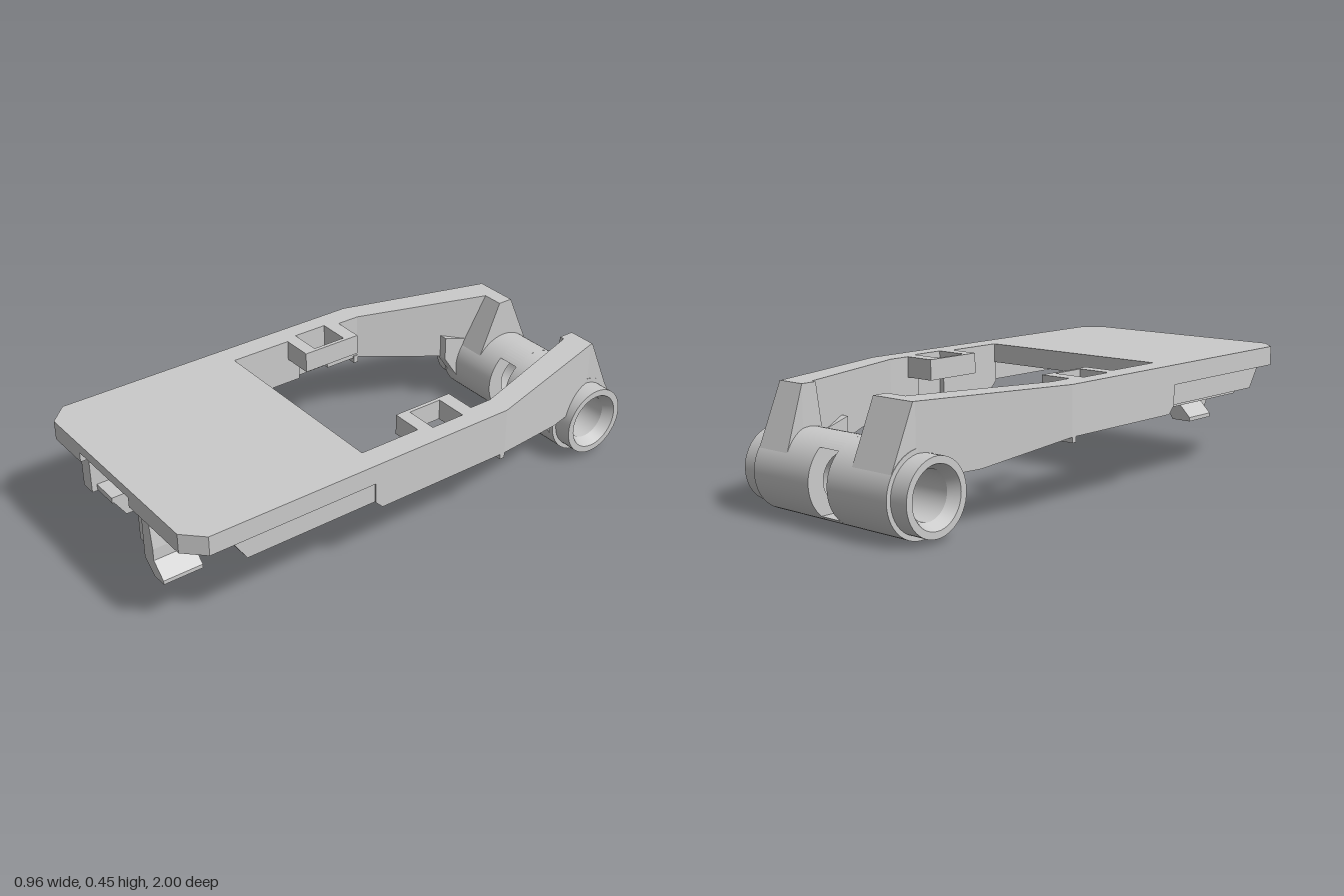
import * as THREE from 'three';
import { toCreasedNormals } from 'three/addons/utils/BufferGeometryUtils.js';

export function createModel() {
  const model = new THREE.Group();
  const grey = new THREE.MeshStandardMaterial({ color: 0xcacaca });
  grey.name = 'grey plastic';

  const add = (name, geometry) => {
    const mesh = new THREE.Mesh(geometry, grey);
    mesh.name = name;
    model.add(mesh);
  };
  const shapeOf = (pts) => new THREE.Shape(pts.map(([a, b]) => new THREE.Vector2(a, b)));
  const extrude = (pts, depth) =>
    new THREE.ExtrudeGeometry(shapeOf(pts), { depth, bevelEnabled: false });
  // Outline in (x, z), raised from y0 to y1
  const plan = (pts, y0, y1) => extrude(pts, y1 - y0).rotateX(Math.PI / 2).translate(0, y1, 0);
  // Outline in (z, y), spanning x0 to x1
  const side = (pts, x0, x1) => extrude(pts, x1 - x0).rotateY(-Math.PI / 2).translate(x1, 0, 0);
  // Outline in (x, y), spanning z0 to z1
  const front = (pts, z0, z1) => extrude(pts, z1 - z0).translate(0, 0, z0);
  const box = (x0, x1, y0, y1, z0, z1) =>
    new THREE.BoxGeometry(x1 - x0, y1 - y0, z1 - z0)
      .translate((x0 + x1) / 2, (y0 + y1) / 2, (z0 + z1) / 2);
  const span = (s, a, b) => (s > 0 ? [a, b] : [-b, -a]);

  // Barrel axis position
  const CZ = -0.85, CY = 0.15;
  const arc = (r, a0, a1, n) => Array.from({ length: n + 1 }, (_, i) => {
    const a = a0 + ((a1 - a0) * i) / n;
    return [CZ + r * Math.cos(a), CY + r * Math.sin(a)];
  });

  // Front plate with clipped corners; its lower layer is cut back between the bracket walls
  const rear = [[-0.48, 0.27], [0.48, 0.27], [0.48, 0.93], [0.41, 1]];
  const corner = [[-0.41, 1], [-0.48, 0.93]];
  add('plateTop', plan([...rear, ...corner], 0.412, 0.448));
  add('plateBase', plan([
    ...rear, [0.1, 1], [0.1, 0.46], [-0.23, 0.36], [-0.23, 1], ...corner,
  ], 0.375, 0.412));

  for (const s of [1, -1]) {
    const mx = (pts) => pts.map(([x, b]) => [s * x, b]);

    // Side rail, notched beside the clip socket
    add('sideRail', plan(mx([
      [0.48, -0.3], [0.48, 0.25], [0.39, 0.25], [0.39, -0.02], [0.41, -0.02],
      [0.41, -0.155], [0.39, -0.155], [0.39, -0.3],
    ]), 0.27, 0.448));
    add('railEnd', side([[0.25, 0.27], [0.28, 0.3], [0.28, 0.448], [0.25, 0.448]],
      ...span(s, 0.39, 0.48)));
    add('clipSocket', plan(mx([
      [0.395, -0.21], [0.27, -0.21], [0.27, 0.03], [0.395, 0.03],
      [0.395, -0.02], [0.285, -0.02], [0.285, -0.155], [0.395, -0.155],
    ]), 0.37, 0.448));
    add('railNub', box(...span(s, 0.385, 0.48), 0.25, 0.28, -0.3, -0.28));

    // Narrow runner beneath the plate edge, sloped at the front
    add('runner', side([[0.27, 0.3], [0.79, 0.3], [0.84, 0.376], [0.27, 0.376]],
      ...span(s, 0.415, 0.475)));

    // Arm leaning inward from the rail to the barrel
    const arm = side([
      [-0.3, 0.448], [-0.3, 0.27], [-0.64, 0.205], [-0.742, 0.2],
      ...arc(0.125, 0.5, 2.85, 18), [-0.985, 0.21], [-0.88, 0.448],
    ], ...span(s, 0.39, 0.48));
    const p = arm.attributes.position;
    for (let i = 0; i < p.count; i++) {
      const inner = Math.abs(p.getX(i)) < 0.43;
      const t = (-0.3 - p.getZ(i)) / 0.58;
      p.setX(i, p.getX(i) - s * t * (inner ? 0.185 : 0.165));
    }
    arm.computeVertexNormals();
    add('arm', arm);

    // Web tying the underside of the arm to the barrel
    add('armWeb', side([[-0.64, 0.3], [-0.64, 0.205], [-0.725, 0.08], ...arc(0.125, -0.3, 1.0, 10)],
      ...span(s, 0.25, 0.3)));

    // Half of the hinge barrel with stepped end and bore
    const half = new THREE.LatheGeometry([
      [0.085, 0.045], [0.15, 0.045], [0.15, 0.32], [0.133, 0.32], [0.133, 0.39],
      [0.108, 0.39], [0.085, 0.35], [0.085, 0.045],
    ].map(([r, h]) => new THREE.Vector2(r, h)), 48);
    add('hingeBarrel', toCreasedNormals(half.rotateZ(-s * Math.PI / 2).translate(0, CY, CZ), 0.5));

    // Segment joining the barrel halves above and below the slot
    const a = Math.asin(0.115 / 0.15);
    add('barrelBridge', side(arc(0.15, s * a, s * (Math.PI - a), 16), -0.046, 0.046));
  }

  // Posts rising from the barrel, the right one wider and flared
  const post = (footZ) => [
    [-0.82, 0.448], [footZ, 0.24], ...arc(0.125, 0.8, 2.85, 14), [-0.985, 0.21], [-0.88, 0.448],
  ];
  add('rightPost', side(post(-0.73), -0.318, -0.14));
  add('leftPost', side(post(-0.79), 0.205, 0.318));

  // Bracket under the plate: two walls joined by a slanting rear bar
  for (const [x0, x1, z] of [[-0.29, -0.23, 0.3], [0.1, 0.16, 0.43]]) {
    add('bracketWall', box(x0, x1, 0.236, 0.376, z, 0.97));
  }
  add('bracketBar', plan([[0.16, 0.43], [-0.29, 0.28], [-0.29, 0.34], [0.16, 0.49]], 0.236, 0.376));

  // Shallow ring between the walls
  const ring = new THREE.LatheGeometry([
    [0.12, 0], [0.145, 0], [0.145, 0.02], [0.12, 0.02], [0.12, 0],
  ].map(([r, h]) => new THREE.Vector2(r, h)), 40);
  add('ring', toCreasedNormals(ring.translate(-0.065, 0.393, 0.64), 0.5));

  // Hooks with outward feet, and a shorter tine beside each
  add('leftHook', front([
    [0.16, 0.376], [0.16, 0.205], [0.215, 0.16], [0.275, 0.16], [0.275, 0.175],
    [0.22, 0.225], [0.22, 0.27], [0.205, 0.376],
  ], 0.84, 0.99));
  add('rightHook', front([
    [-0.24, 0.25], [-0.14, 0.25], [-0.2, 0.16], [-0.28, 0.16], [-0.28, 0.175], [-0.22, 0.235],
  ], 0.67, 0.81));
  add('rightTine', side([[0.83, 0.175], [0.9, 0.175], [0.95, 0.25], [0.83, 0.25]], -0.19, -0.125));
  add('rightTineRoot', box(-0.24, -0.125, 0.24, 0.262, 0.68, 0.95));
  add('leftTine', front([[0.14, 0.25], [0.12, 0.175], [0.12, 0.16], [0.2, 0.16], [0.16, 0.25]],
    0.66, 0.79));
  return model;
}
